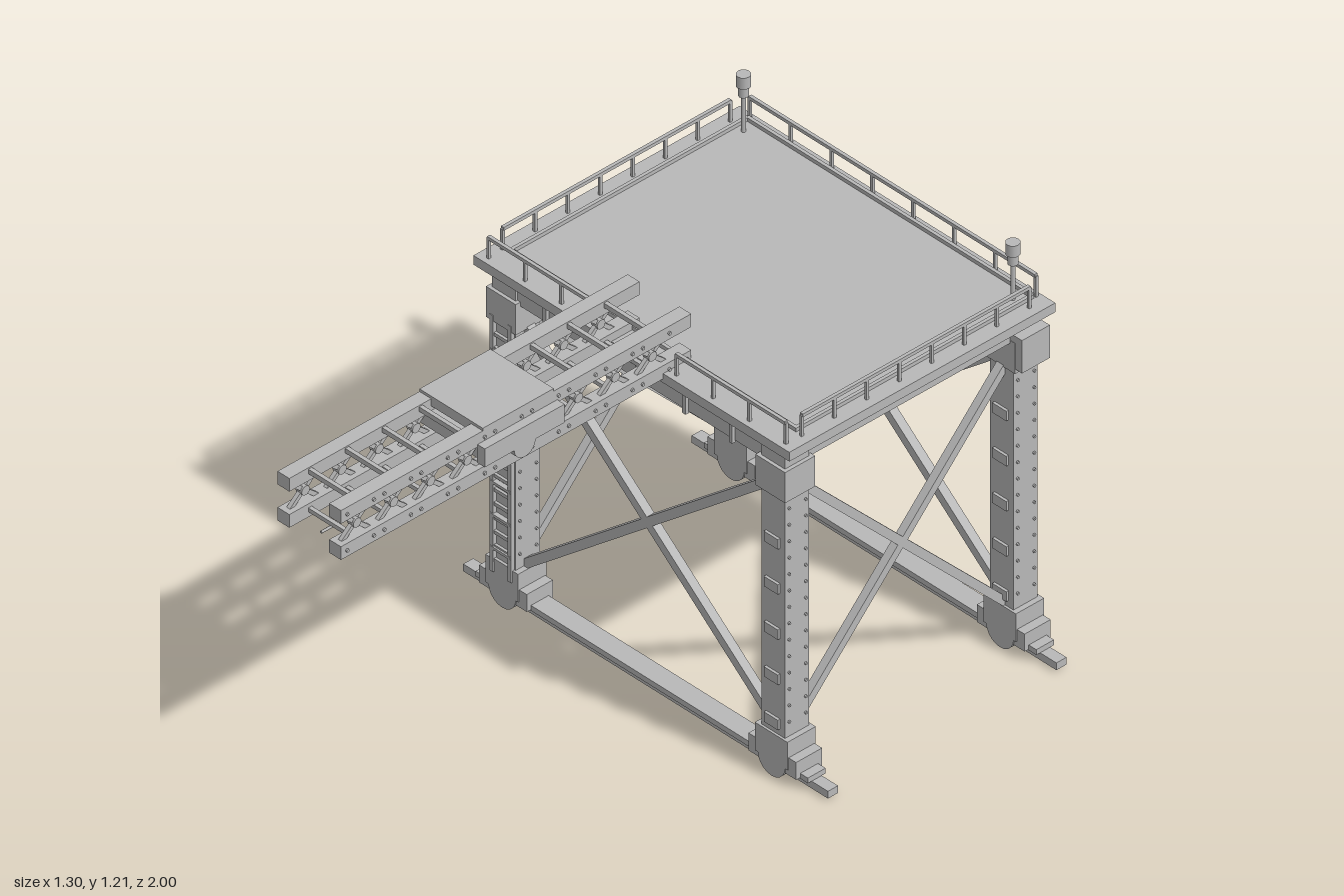
import * as THREE from 'three';

const steel = new THREE.MeshStandardMaterial({ color: 0xb8b8b8 });
steel.name = 'paintedSteel';

const LEG_X = 0.48, FRONT_Z = -0.155, BACK_Z = -0.928;
const MID_Z = (FRONT_Z + BACK_Z) / 2;

export function createModel() {
  const model = new THREE.Group();
  model.name = 'gantryCrane';
  let part = model;

  const section = (name) => {
    part = new THREE.Group();
    part.name = name;
    model.add(part);
  };
  const add = (name, geometry, x, y, z) => {
    const mesh = new THREE.Mesh(geometry, steel);
    mesh.name = name;
    mesh.position.set(x, y, z);
    part.add(mesh);
    return mesh;
  };
  // Box given by its min and max on each axis
  const box = (name, x0, x1, y0, y1, z0, z1) =>
    add(name, new THREE.BoxGeometry(x1 - x0, y1 - y0, z1 - z0), (x0 + x1) / 2, (y0 + y1) / 2, (z0 + z1) / 2);
  // Square bar between two points
  const bar = (name, a, b, w, d = w) => {
    const p = new THREE.Vector3(...a), q = new THREE.Vector3(...b);
    const m = box(name, -w / 2, w / 2, -d / 2, d / 2, 0, p.distanceTo(q));
    m.position.copy(p).add(q).multiplyScalar(0.5);
    m.lookAt(q);
    return m;
  };
  const disc = (name, r, h, axis, x, y, z, n = 20) => {
    const g = new THREE.CylinderGeometry(r, r, h, n);
    if (axis === 'x') g.rotateZ(Math.PI / 2);
    if (axis === 'z') g.rotateX(Math.PI / 2);
    return add(name, g, x, y, z);
  };

  // Ground rails and sill beams
  section('rails');
  for (const z of [FRONT_Z, BACK_Z]) {
    box('rail', -0.65, 0.65, 0.008, 0.03, z - 0.017, z + 0.017);
    box('sillBeam', -0.592, 0.592, 0.03, 0.046, z - 0.03, z + 0.03);
  }

  // Legs with bogies, caps, access plates and rivets
  section('legs');
  for (const z of [FRONT_Z, BACK_Z]) for (const s of [-1, 1]) {
    const x = s * LEG_X, front = z === FRONT_Z;
    box('leg', x - 0.042, x + 0.042, 0.1, 1.01, z - 0.041, z + 0.041);
    box('footUpper', x - 0.058, x + 0.058, 0.05, 0.135, z - 0.048, z + 0.048);
    box('footLower', x - 0.085, x + 0.085, 0.033, 0.086, z - 0.044, z + 0.044);
    for (const d of [-0.03, 0.03]) disc('wheel', 0.049, 0.034, 'z', x, 0.052, z + d);
    if (front) box('legCap', x - 0.053, x + 0.053, 0.862, 0.955, z - 0.051, z + 0.051);
    else {
      box('legCap', x - 0.053, x + 0.053, 0.862, 0.955, z - 0.046, z + 0.046);
      box('capHousing', Math.min(s * 0.43, s * 0.557), Math.max(s * 0.43, s * 0.557), 0.876, 0.976, z - 0.049, z + 0.045);
    }
    const hasLadder = front && s < 0;
    for (let i = 0; i < 5; i++) for (const f of [-1, 1]) {
      if (hasLadder && f > 0) continue;
      const y = 0.17 + i * 0.1375;
      box('accessPlate', x - 0.025, x + 0.025, y - 0.015, y + 0.015, z + f * 0.044 - 0.005, z + f * 0.044 + 0.005);
    }
    for (let i = 0; i < 14; i++) for (const f of [-1, 1]) for (const d of [-0.028, 0.028])
      disc('rivet', 0.004, 0.008, 'x', x + f * 0.043, 0.18 + i * 0.05, z + d, 6);
  }

  // Crossed braces on all four sides
  section('braces');
  for (const s of [-1, 1]) {
    for (const z of [FRONT_Z, BACK_Z])
      bar('crossBrace', [-s * 0.45, 0.13, z], [s * 0.45, 0.87, z], 0.026, 0.026);
    for (const x of [-LEG_X, LEG_X])
      bar('sideBrace', [x, 0.13, MID_Z - s * 0.36], [x, 0.87, MID_Z + s * 0.36], 0.024, 0.024);
  }

  // Ladder on the front leg
  section('ladder');
  for (const x of [-0.512, -0.448]) box('ladderRail', x - 0.006, x + 0.006, 0.1, 0.88, -0.114, -0.102);
  for (let i = 0; i < 18; i++) box('rung', -0.512, -0.448, 0.13 + i * 0.043, 0.14 + i * 0.043, -0.113, -0.105);
  for (let i = 0; i < 7; i++) box('ladderBracket', -0.516, -0.444, 0.17 + i * 0.1, 0.178 + i * 0.1, -0.118, -0.1);

  // Deck, girders and stiffening ribs
  section('deck');
  box('deckPlate', -0.563, 0.563, 1.012, 1.04, -0.99, -0.09);
  for (const z of [FRONT_Z, BACK_Z]) {
    const f = z === FRONT_Z ? 1 : -1;
    box('crossGirder', -0.52, 0.52, 0.942, 1.012, z - 0.035, z + 0.035);
    for (let i = -2; i <= 2; i++)
      box('rib', i * 0.166 - 0.006, i * 0.166 + 0.006, 0.936, 1.012, z + f * 0.039 - 0.006, z + f * 0.039 + 0.006);
  }
  for (const x of [-LEG_X, LEG_X]) box('sideGirder', x - 0.035, x + 0.035, 0.946, 1.012, BACK_Z, FRONT_Z);
  box('backBox', -0.105, 0.105, 0.914, 0.974, -0.998, -0.96);
  for (const x of [-0.508, 0.508]) box('kerb', x - 0.005, x + 0.005, 1.04, 1.051, -0.965, -0.16);
  for (const z of [-0.965, -0.165]) box('kerb', -0.508, 0.508, 1.04, 1.051, z - 0.005, z + 0.005);

  // Handrails; the front one leaves a gap for the boom
  section('handrails');
  const handrail = (a, b, n) => {
    const y = 1.103;
    bar('topRail', [a[0], y, a[1]], [b[0], y, b[1]], 0.01);
    for (let i = 0; i <= n; i++) {
      const x = a[0] + (b[0] - a[0]) * i / n, z = a[1] + (b[1] - a[1]) * i / n;
      box('railPost', x - 0.004, x + 0.004, 1.04, y, z - 0.004, z + 0.004);
    }
  };
  handrail([-0.51, -0.975], [0.51, -0.975], 7);
  for (const s of [-1, 1]) {
    handrail([s * 0.533, -0.93], [s * 0.533, -0.16], 7);
    handrail([s * 0.53, -0.11], [s * 0.14, -0.11], 3);
  }

  // Warning lamps on the back corners
  section('lamps');
  for (const x of [-LEG_X, LEG_X]) {
    disc('lampPost', 0.006, 0.12, 'y', x, 1.1, -0.925, 8);
    disc('lampBase', 0.014, 0.03, 'y', x, 1.165, -0.925, 12);
    disc('lampHead', 0.019, 0.035, 'y', x, 1.197, -0.925, 12);
  }

  // Boom: twin lattice trusses joined by ties
  section('boom');
  for (const s of [-1, 1]) {
    const x = s * 0.092;
    box('topChord', x - 0.021, x + 0.021, 1.134, 1.174, -0.185, 1);
    box('bottomChord', x - 0.021, x + 0.021, 1.024, 1.064, -0.185, 1);
    for (let i = 0; i < 9; i++) {
      const z = 0.935 - i * 0.125;
      for (const f of [-1, 1]) bar('lattice', [x, 1.06, z - f * 0.045], [x, 1.138, z + f * 0.045], 0.012);
      disc('gusset', 0.014, 0.022, 'x', x, 1.099, z, 10);
      for (const y of [1.044, 1.154]) for (const d of [-0.045, 0.045])
        disc('bolt', 0.005, 0.008, 'x', x + s * 0.022, y, z + d, 6);
    }
  }
  for (let i = 0; i < 9; i++) {
    const z = 0.93 - i * 0.125;
    box('topTie', -0.08, 0.08, 1.156, 1.17, z - 0.006, z + 0.006);
    box('bottomTie', -0.08, 0.08, 1.04, 1.052, z - 0.006, z + 0.006);
  }
  disc('rope', 0.004, 1.12, 'z', 0, 1.028, 0.4, 6);

  // Trolley riding on the boom
  section('trolley');
  box('trolleyTop', -0.113, 0.113, 1.152, 1.182, 0.28, 0.52);
  box('trolleyBody', -0.132, 0.132, 1.092, 1.138, 0.275, 0.53);
  for (const s of [-1, 1]) {
    box('sideFrame', s * 0.125 - 0.014, s * 0.125 + 0.014, 1.086, 1.142, 0.268, 0.538);
    disc('trolleyWheel', 0.036, 0.03, 'x', s * 0.124, 1.086, 0.402);
  }

  // Operator cabin under the deck with a small walkway
  section('cabin');
  box('cabinBody', -0.445, -0.24, 0.7, 0.925, -0.87, -0.615);
  box('cabinRoof', -0.455, -0.23, 0.925, 0.942, -0.9, -0.605);
  for (const x of [-0.42, -0.265]) box('hanger', x - 0.012, x + 0.012, 0.94, 1.014, -0.85, -0.64);
  box('sideWindow', -0.24, -0.232, 0.77, 0.885, -0.83, -0.66);
  box('farWindow', -0.453, -0.445, 0.77, 0.885, -0.83, -0.66);
  box('frontWindow', -0.425, -0.265, 0.74, 0.89, -0.615, -0.607);
  box('backWindow', -0.425, -0.265, 0.75, 0.89, -0.878, -0.87);
  box('cabinFloor', -0.45, -0.235, 0.69, 0.702, -0.88, -0.6);
  box('walkway', -0.53, -0.25, 0.672, 0.682, -0.65, -0.6);
  box('walkRail', -0.53, -0.255, 0.748, 0.756, -0.605, -0.597);
  for (const x of [-0.526, -0.44, -0.35]) box('walkPost', x - 0.004, x + 0.004, 0.675, 0.752, -0.605, -0.597);
  box('walkPost', -0.266, -0.256, 0.665, 0.93, -0.607, -0.597);

  return model;
}
